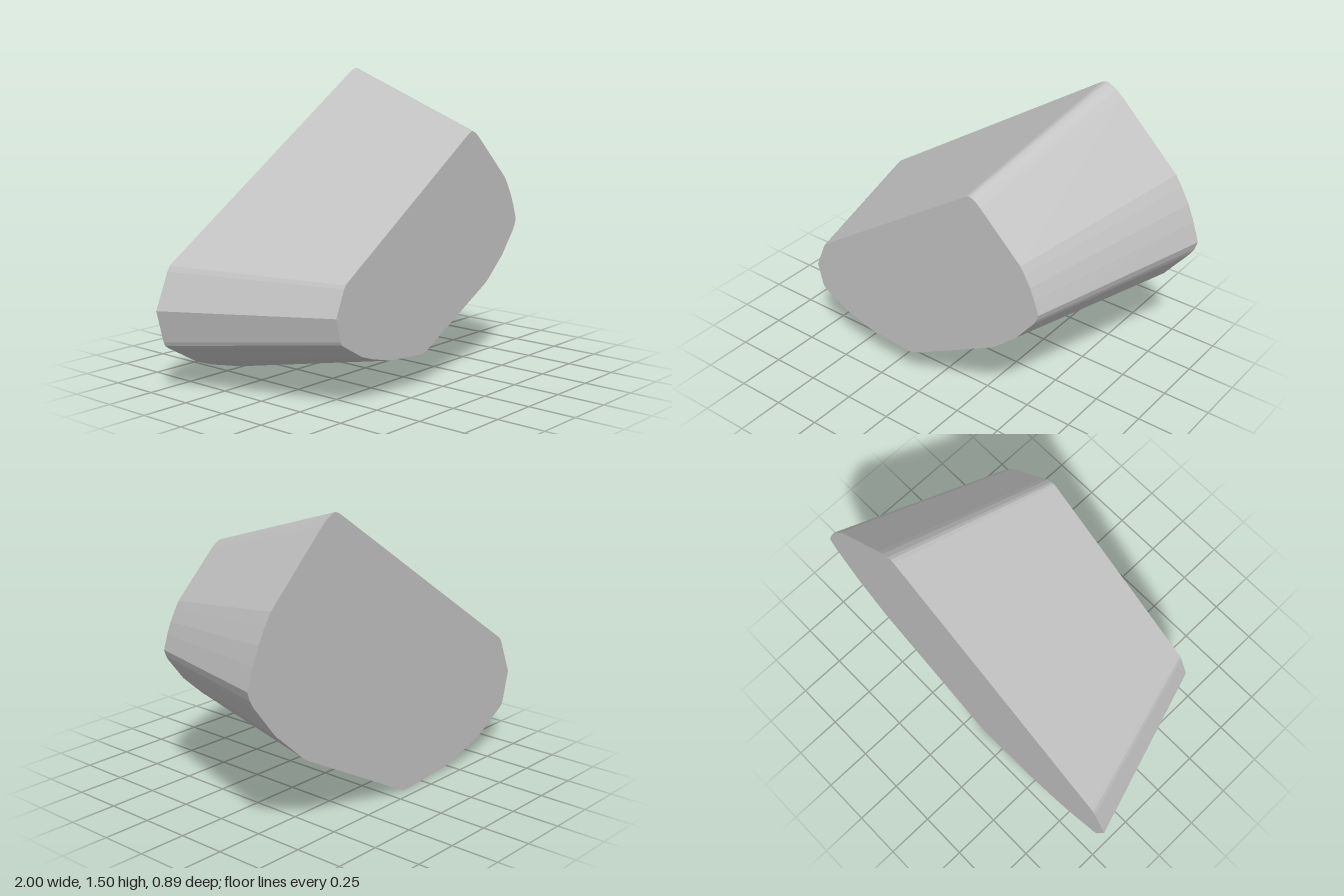
import * as THREE from 'three';

// Outline of the large back face, counterclockwise from the bottom
const OUTLINE = [
  [-0.10, 0], [-0.075, 0.01], [-0.05, 0.022], [0.62, 0.38], [0.655, 0.405], [0.83, 0.56],
  [0.965, 0.73], [0.985, 0.765], [1, 0.81], [0.965, 0.915], [0.93, 1.0], [0.885, 1.08],
  [0.85, 1.135], [0.525, 1.45], [0.49, 1.48], [0.455, 1.5], [0.435, 1.505], [0.415, 1.5],
  [0.39, 1.485], [-0.89, 0.63], [-0.91, 0.615], [-0.925, 0.59], [-1, 0.41], [-0.96, 0.25],
  [-0.95, 0.23], [-0.93, 0.215], [-0.75, 0.11], [-0.65, 0.075], [-0.46, 0.025], [-0.13, 0],
];
const DEPTH = 0.89;
const FRONT_SCALE = 0.7;

export function createModel() {
  const model = new THREE.Group();
  const stone = new THREE.MeshStandardMaterial({ color: 0xc0c0c0 });
  stone.name = 'light grey';

  // Prism with its front end shrunk to make a tapered block
  const shape = new THREE.Shape(OUTLINE.map(([x, y]) => new THREE.Vector2(x, y)));
  const geometry = new THREE.ExtrudeGeometry(shape, { depth: DEPTH, bevelEnabled: false });
  const pos = geometry.attributes.position;
  for (let i = 0; i < pos.count; i++) {
    if (pos.getZ(i) > DEPTH / 2) {
      pos.setX(i, pos.getX(i) * FRONT_SCALE - 0.015);
      pos.setY(i, pos.getY(i) * FRONT_SCALE + 0.173);
    }
  }
  geometry.translate(0, 0, -DEPTH / 2);
  geometry.clearGroups();
  geometry.computeVertexNormals(); // unshared corners keep the facets flat

  const block = new THREE.Mesh(geometry, stone);
  block.name = 'taperedBlock';
  model.add(block);
  return model;
}
